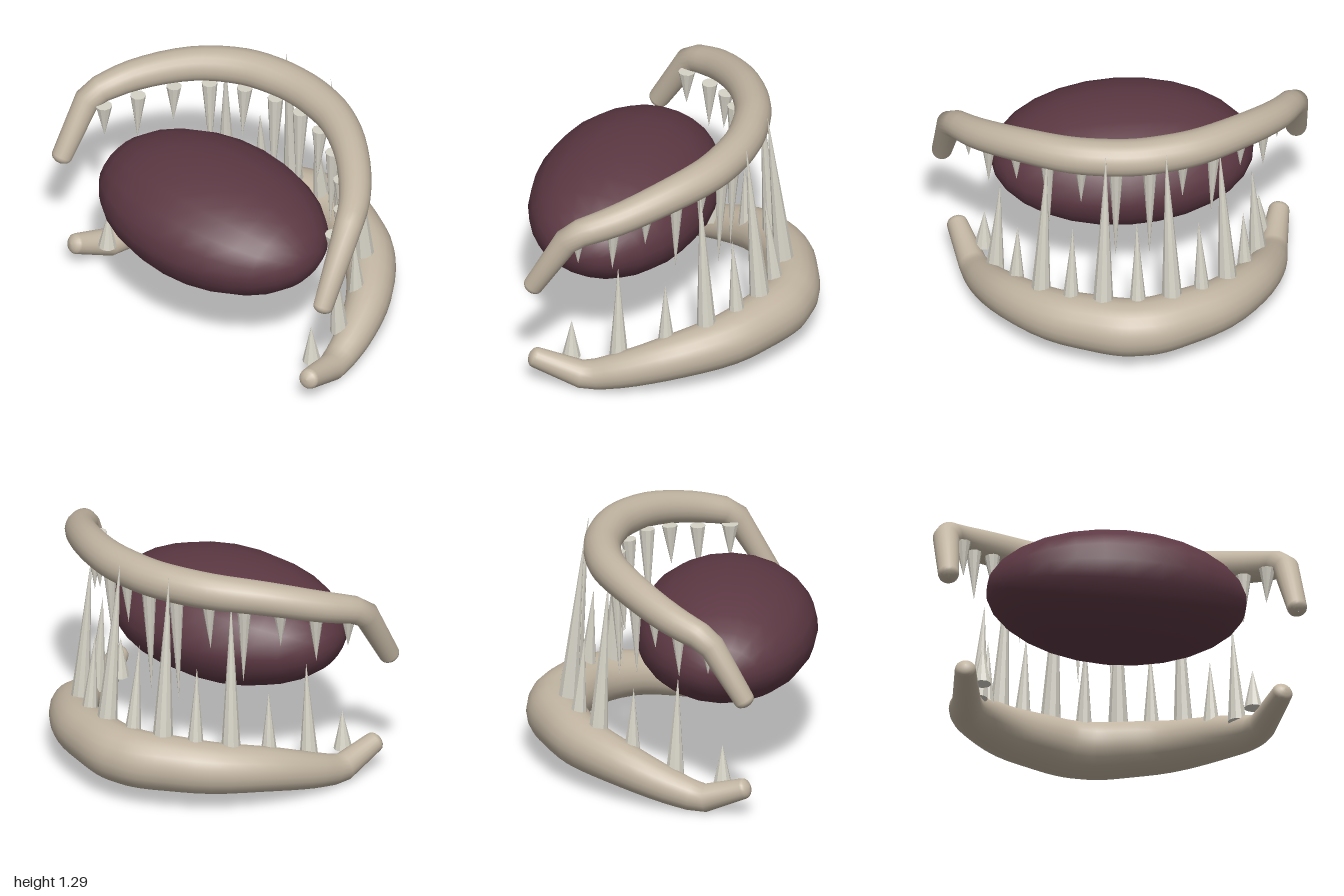
import * as THREE from 'three';

const V = (x, y, z) => new THREE.Vector3(x, y, z);

// Tapered tube through nodes {p, r}, closed at both ends by rounded caps
function taperedTube(nodes, sides = 20) {
  const first = nodes[0], last = nodes[nodes.length - 1];
  const cap = (end, next) => {
    const out = end.p.clone().sub(next.p).normalize();
    return [90, 65, 40, 20].map((deg) => {
      const a = deg * Math.PI / 180;
      return {
        p: end.p.clone().addScaledVector(out, 0.7 * end.r * Math.sin(a)),
        r: Math.max(end.r * Math.cos(a), 0.0005),
      };
    });
  };
  const rings = [
    ...cap(first, nodes[1]),
    ...nodes,
    ...cap(last, nodes[nodes.length - 2]).reverse(),
  ];
  const pos = [], index = [];
  rings.forEach(({ p, r }, i) => {
    const before = rings[Math.max(i - 1, 0)].p;
    const after = rings[Math.min(i + 1, rings.length - 1)].p;
    const t1 = p.clone().sub(before).normalize();
    const t2 = after.clone().sub(p).normalize();
    const t = t1.add(t2).normalize();
    const side = t.clone().cross(V(0, 1, 0)).normalize();
    const up = side.clone().cross(t);
    for (let j = 0; j < sides; j++) {
      const a = j / sides * Math.PI * 2;
      const q = p.clone().addScaledVector(side, r * Math.cos(a)).addScaledVector(up, r * Math.sin(a));
      pos.push(q.x, q.y, q.z);
      if (i < rings.length - 1) {
        const k = (j + 1) % sides;
        const A = i * sides + j, B = i * sides + k, C = A + sides, D = B + sides;
        index.push(A, C, B, B, C, D);
      }
    }
  });
  const g = new THREE.BufferGeometry();
  g.setAttribute('position', new THREE.Float32BufferAttribute(pos, 3));
  g.setIndex(index);
  g.computeVertexNormals();
  return g;
}

// Jaw arch: half profile [x, y, z, r] from the bend to the middle, mirrored in z, plus two straight ends
function jawGeometry(half, endFront, endBack) {
  const mirrored = half.slice(0, -1).reverse().map(([x, y, z, r]) => [x, y, -z, r]);
  const all = [...half, ...mirrored];
  const path = new THREE.CatmullRomCurve3(all.map(([x, y, z]) => V(x, y, z)));
  const radius = new THREE.CatmullRomCurve3(all.map((n, i) => V(n[3], i * 0.1, 0)));
  const nodes = [];
  const steps = 40;
  for (let i = 0; i <= steps; i++) {
    nodes.push({ p: path.getPoint(i / steps), r: radius.getPoint(i / steps).x });
  }
  // Each bend is softened by cutting its corner
  const straight = ([x, y, z, r], bend) => {
    const p = V(x, y, z);
    return [{ p, r }, { p: p.clone().lerp(bend.p, 0.9), r: r + (bend.r - r) * 0.9 }];
  };
  return taperedTube([
    ...straight(endFront, nodes[0]),
    ...nodes.slice(1, -1),
    ...straight(endBack, nodes[steps]).reverse(),
  ]);
}

// Cone from a base centre to a tip
function tooth(base, tip, r, material, name) {
  const dir = tip.clone().sub(base);
  const mesh = new THREE.Mesh(new THREE.ConeGeometry(r, dir.length(), 10), material);
  mesh.position.copy(base).add(tip).multiplyScalar(0.5);
  mesh.quaternion.setFromUnitVectors(V(0, 1, 0), dir.normalize());
  mesh.name = name;
  return mesh;
}

export function createModel() {
  const model = new THREE.Group();
  model.name = 'toothedJaws';

  const bone = new THREE.MeshStandardMaterial({ color: 0xc1b4a1 });
  bone.name = 'bone';
  const ivory = new THREE.MeshStandardMaterial({ color: 0xd6d3c7, flatShading: true });
  ivory.name = 'ivory';
  const flesh = new THREE.MeshStandardMaterial({ color: 0x5c3843 });
  flesh.name = 'darkFlesh';

  // Dark body between the jaws
  const ball = new THREE.SphereGeometry(1, 20, 14);
  ball.rotateX(Math.PI / 2);
  ball.scale(0.485, 0.325, 0.7);
  const body = new THREE.Mesh(ball, flesh);
  body.position.set(-0.29, 0.735, 0);
  body.name = 'body';
  model.add(body);

  // Upper jaw
  const upper = new THREE.Mesh(jawGeometry([
    [-0.26, 1.03, 0.918, 0.072],
    [-0.05, 1.1, 0.795, 0.084],
    [0.17, 1.17, 0.57, 0.092],
    [0.31, 1.195, 0.33, 0.098],
    [0.36, 1.2, 0.13, 0.1],
    [0.37, 1.2, 0, 0.1],
  ], [-0.457, 0.69, 0.943, 0.054], [-0.45, 0.71, -0.943, 0.056]), bone);
  upper.name = 'upperJaw';
  model.add(upper);

  // Lower jaw
  const lower = new THREE.Mesh(jawGeometry([
    [-0.215, 0.078, 0.795, 0.078],
    [-0.02, 0.135, 0.752, 0.098],
    [0.22, 0.205, 0.645, 0.12],
    [0.45, 0.243, 0.44, 0.14],
    [0.56, 0.255, 0.23, 0.151],
    [0.61, 0.256, 0.09, 0.155],
    [0.617, 0.256, 0, 0.155],
  ], [-0.475, 0.175, 0.86, 0.056], [-0.44, 0.165, -0.85, 0.056]), bone);
  lower.name = 'lowerJaw';
  model.add(lower);

  // Teeth: base x, y, z, tip x, y, z, radius; mirrored in z
  const upperTeeth = [
    [-0.25, 0.995, 0.825, -0.25, 0.8, 0.82, 0.045],
    [-0.085, 1.02, 0.73, -0.09, 0.745, 0.73, 0.042],
    [0.055, 1.07, 0.6, 0.045, 0.85, 0.595, 0.042],
    [0.165, 1.11, 0.445, 0.155, 0.63, 0.43, 0.042],
    [0.25, 1.12, 0.27, 0.23, 0.81, 0.27, 0.042],
    [0.295, 1.12, 0.09, 0.27, 0.475, 0.09, 0.042],
  ];
  const lowerTeeth = [
    [-0.32, 0.145, 0.735, -0.32, 0.365, 0.73, 0.05],
    [-0.065, 0.18, 0.7, -0.08, 0.72, 0.67, 0.05],
    [0.17, 0.25, 0.61, 0.16, 0.62, 0.6, 0.047],
    [0.36, 0.27, 0.5, 0.305, 1.17, 0.46, 0.056],
    [0.475, 0.32, 0.35, 0.44, 0.8, 0.335, 0.048],
    [0.545, 0.32, 0.185, 0.455, 1.285, 0.16, 0.058],
    [0.56, 0.35, 0, 0.5, 0.86, 0, 0.046],
  ];
  const addTeeth = (rows, name) => {
    const group = new THREE.Group();
    group.name = name + 's';
    for (const [bx, by, bz, tx, ty, tz, r] of rows) {
      for (const s of bz ? [1, -1] : [1]) {
        group.add(tooth(V(bx, by, s * bz), V(tx, ty, s * tz), r, ivory, name));
      }
    }
    model.add(group);
  };
  addTeeth(upperTeeth, 'upperFang');
  addTeeth(lowerTeeth, 'lowerFang');

  return model;
}
